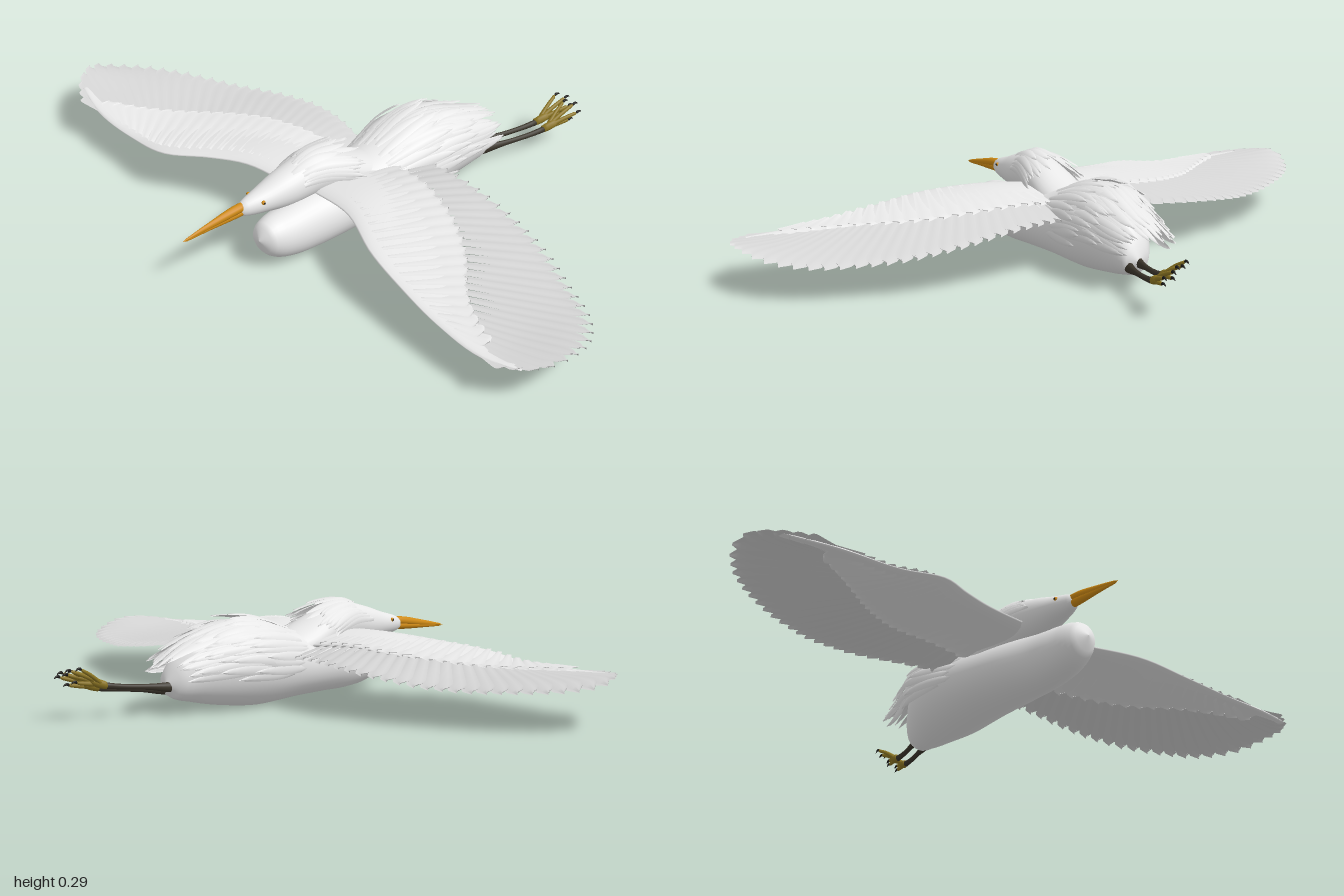
import * as THREE from 'three';

const mat = (name, color) => {
  const m = new THREE.MeshStandardMaterial({ color, side: THREE.DoubleSide });
  m.name = name;
  return m;
};

// small seeded random
let seed = 7;
const rnd = () => (seed = (seed * 16807) % 2147483647) / 2147483647;

// smooth lookup through rows of [key, a, b, ...]
function table(rows) {
  const n = rows[0].length - 1;
  const it = new THREE.CubicInterpolant(rows.map(r => r[0]), rows.flatMap(r => r.slice(1)), n, new Float32Array(n));
  return t => Array.from(it.evaluate(t));
}

// surface from fn(u, v) -> [x, y, z]; closed wraps v and turns the faces outwards
function grid(fn, nu, nv, closed = false) {
  const pos = [], idx = [], w = closed ? nv : nv + 1;
  for (let i = 0; i <= nu; i++) for (let j = 0; j < w; j++) pos.push(...fn(i / nu, j / nv));
  for (let i = 0; i < nu; i++) for (let j = 0; j < nv; j++) {
    const a = i * w + j, b = i * w + (j + 1) % w;
    idx.push(a, a + w, b, b, a + w, b + w);
  }
  const P = k => new THREE.Vector3().fromArray(pos, 3 * k);
  let measure = 0;
  for (let k = 0; k < idx.length; k += 3) {
    const [a, b, c] = [P(idx[k]), P(idx[k + 1]), P(idx[k + 2])];
    measure += closed ? a.dot(b.clone().cross(c)) : b.sub(a).cross(c.sub(a)).y;
  }
  if (measure < 0) idx.reverse();
  const g = new THREE.BufferGeometry();
  g.setAttribute('position', new THREE.Float32BufferAttribute(pos, 3));
  g.setIndex(idx);
  g.computeVertexNormals();
  return g;
}

// rounded solid along x from rows of [x, y, z, radiusY, radiusZ]
function hull(rows, nu = 40, nv = 28) {
  const at = table(rows), x0 = rows[0][0], x1 = rows[rows.length - 1][0];
  return grid((u, v) => {
    const x = x0 + (x1 - x0) * u, [y, z, ry, rz] = at(x);
    const k = u === 0 || u === 1 ? 0 : 1, a = v * Math.PI * 2;
    return [x, y + k * Math.max(ry, 0.001) * Math.cos(a), z + k * Math.max(rz, 0.001) * Math.sin(a)];
  }, nu, nv, true);
}

// narrow pointed plume lying over a hull
function plume(at, x0, x1, a0, a1, width, lift) {
  return grid((u, v) => {
    const x = x0 + (x1 - x0) * u, [y, z, ry, rz] = at(x), s = v * 2 - 1;
    const w = width * Math.pow(Math.sin(Math.PI * Math.min(1, 0.12 + u * 0.88)), 0.6);
    const a = a0 + (a1 - a0) * u + s * w / Math.max(0.06, rz);
    const r = lift * u + 0.004 * (1 - Math.abs(s));
    return [x, y + (ry + r) * Math.cos(a), z + (rz + r) * Math.sin(a)];
  }, 9, 2);
}

// wing data: chord rows [span, leading x, trailing x, covert x, y]; tips and coverts are [x, span]
const wings = [
  { name: 'leftWing', side: 1,
    rows: [[0.03, -0.27, 0.1, -0.03, 0.18], [0.2, -0.3, 0.1, -0.06, 0.195], [0.35, -0.37, 0.1, -0.11, 0.18],
      [0.5, -0.405, 0.08, -0.2, 0.152], [0.65, -0.43, 0.04, -0.32, 0.128], [0.82, -0.443, -0.05, -0.41, 0.118], [1, -0.4, -0.2, -0.38, 0.132]],
    tips: [[0.1, 0.13], [0.1, 0.3], [0.08, 0.5], [0.04, 0.65], [-0.03, 0.79], [-0.1, 0.91], [-0.19, 0.98], [-0.28, 1], [-0.37, 0.98], [-0.43, 0.89]],
    coverts: [[0, 0.12], [-0.03, 0.28], [-0.09, 0.42], [-0.17, 0.53], [-0.27, 0.62], [-0.34, 0.71], [-0.39, 0.8]] },
  { name: 'rightWing', side: -1,
    rows: [[0.03, -0.3, 0.06, -0.06, 0.185], [0.2, -0.31, 0.1, -0.08, 0.185], [0.32, -0.35, 0.11, -0.09, 0.172],
      [0.45, -0.405, 0.1, -0.16, 0.152], [0.6, -0.395, 0.06, -0.26, 0.13], [0.8, -0.37, -0.02, -0.33, 0.132], [1, -0.29, -0.18, -0.27, 0.15]],
    tips: [[0.06, 0.1], [0.1, 0.25], [0.11, 0.36], [0.09, 0.51], [0.05, 0.64], [0.01, 0.75], [-0.06, 0.88], [-0.12, 0.95], [-0.2, 1], [-0.28, 0.97], [-0.35, 0.88]],
    coverts: [[-0.05, 0.1], [-0.06, 0.25], [-0.08, 0.37], [-0.14, 0.5], [-0.21, 0.61], [-0.26, 0.69], [-0.32, 0.8]] },
];
const quillRoots = [[0.18, 0.1], [0.1, 0.25], [0.07, 0.4], [0.06, 0.5], [0.05, 0.6], [0.035, 0.7], [0.02, 0.76]];
const covertRoots = [[0.05, 0.08], [0.04, 0.2], [0.035, 0.32], [0.03, 0.42], [0.02, 0.5], [0.02, 0.6], [0.02, 0.7]];

function buildWing(w, white, grey, add) {
  const at = table(w.rows);
  const surf = (x, s) => {
    const [lead, trail, , y] = at(s);
    const f = THREE.MathUtils.clamp((x - lead) / (trail - lead), 0, 1.1);
    return y - f * (s < 0.6 ? 0.045 - s * 0.045 : 0.018) + 0.01 * Math.sin(Math.PI * f);
  };
  const curve = pts => new THREE.CatmullRomCurve3(pts.map(p => new THREE.Vector3(p[0], 0, p[1])));

  // thick leading arm
  const arm = grid((u, v) => {
    const s = 0.03 + 0.9 * u, [lead, , back] = at(s), a = v * Math.PI * 2;
    const f = (1 - Math.cos(a)) / 2, x = lead + (back - lead) * f;
    const thick = (u === 1 ? 0 : 0.045 - 0.036 * u) * Math.sqrt(f) * (1 - f * 0.85);
    return [x, surf(x, s) + Math.sign(Math.sin(a)) * thick * Math.min(1, Math.abs(Math.sin(a)) * 2), w.side * s];
  }, 32, 24, true);
  add(arm, white, w.name + 'Arm');

  // overlapping fan of rounded feathers
  const fan = (name, rootPts, tipPts, count, half, offset, material) => {
    const roots = curve(rootPts.map(([d, s]) => [at(s)[0] + d, s])), tips = curve(tipPts);
    for (let i = 0; i < count; i++) {
      const t = i / (count - 1), r = roots.getPointAt(t), e = tips.getPointAt(t);
      const dir = e.clone().sub(r).normalize();
      const feather = grid((u, v) => {
        const q = v * 2 - 1, end = u > 0.84 ? Math.sqrt(Math.max(0, 1 - ((u - 0.84) / 0.16) ** 2)) : 1;
        const h = half * (0.35 + 0.65 * u) * end * q;
        const x = r.x + (e.x - r.x) * u - dir.z * h, s = r.z + (e.z - r.z) * u + dir.x * h;
        return [x, surf(x, s) + offset + q * 0.004 + (q === 0 ? 0.003 : 0), w.side * s];
      }, 16, 4);
      add(feather, material, name);
    }
  };
  fan(w.name + 'FlightFeather', quillRoots, w.tips, 30, 0.03, 0, grey);
  fan(w.name + 'UpperCovert', covertRoots, w.coverts, 20, 0.033, 0.011, white);
  fan(w.name + 'LowerCovert', covertRoots, w.coverts, 20, 0.033, -0.009, white);
}

export function createModel() {
  seed = 7;
  const bird = new THREE.Group();
  bird.name = 'flyingWadingBird';
  const add = (geometry, material, name) => {
    const m = new THREE.Mesh(geometry, material);
    m.name = name;
    bird.add(m);
    return m;
  };
  const white = mat('white plumage', 0xe9e9e9), grey = mat('flight feather grey', 0xd6d6d6);
  const orange = mat('bill orange', 0xcf8a14), dark = mat('leg brown', 0x3b352b);
  const olive = mat('foot olive', 0x8d7623), black = mat('claw black', 0x1c1a18);

  // body with the folded neck bulging at the front
  add(hull([[-0.476, 0.108, 0.02, 0.005, 0.005], [-0.465, 0.106, 0.02, 0.036, 0.034], [-0.44, 0.1, 0.02, 0.058, 0.052],
    [-0.38, 0.092, 0.022, 0.075, 0.068], [-0.3, 0.092, 0.025, 0.085, 0.08], [-0.18, 0.1, 0.028, 0.092, 0.1],
    [-0.04, 0.109, 0.032, 0.102, 0.115], [0.1, 0.125, 0.043, 0.124, 0.123], [0.2, 0.128, 0.06, 0.118, 0.108],
    [0.3, 0.115, 0.09, 0.086, 0.075], [0.36, 0.09, 0.11, 0.042, 0.042], [0.375, 0.085, 0.115, 0.02, 0.025]], 60, 32), white, 'body');

  // head and nape
  const headRows = [[-0.495, 0.19, -0.043, 0.014, 0.012], [-0.465, 0.192, -0.038, 0.026, 0.024], [-0.41, 0.196, -0.03, 0.038, 0.04],
    [-0.34, 0.203, -0.02, 0.055, 0.055], [-0.25, 0.213, -0.008, 0.064, 0.064], [-0.18, 0.2, 0.002, 0.062, 0.072],
    [-0.08, 0.165, 0.015, 0.055, 0.08], [0.02, 0.14, 0.03, 0.04, 0.07]];
  add(hull(headRows), white, 'head');

  // two halves of the bill
  add(hull([[-0.68, 0.169, -0.07, 0.002, 0.002], [-0.6, 0.181, -0.06, 0.009, 0.007], [-0.48, 0.199, -0.042, 0.013, 0.014], [-0.46, 0.2, -0.039, 0.01, 0.012]], 16, 14), orange, 'upperBill');
  add(hull([[-0.675, 0.167, -0.069, 0.002, 0.002], [-0.6, 0.174, -0.06, 0.007, 0.006], [-0.48, 0.184, -0.042, 0.012, 0.013], [-0.46, 0.185, -0.039, 0.01, 0.012]], 16, 14), orange, 'lowerBill');

  // eyes
  for (const s of [-1, 1]) {
    const z = -0.033 + s * 0.031;
    add(new THREE.SphereGeometry(0.006, 14, 10), orange, 'eye').position.set(-0.432, 0.208, z);
    add(new THREE.SphereGeometry(0.0035, 10, 8), black, 'pupil').position.set(-0.432, 0.208, z + s * 0.004);
  }

  // nape plumes
  const nape = table(headRows);
  for (let i = 0; i < 22; i++) {
    const a = -1.5 + 3 * i / 21, x0 = -0.33 + rnd() * 0.08;
    add(plume(nape, x0, x0 + 0.14 + rnd() * 0.06, a * 0.85, a, 0.011, 0.015 + rnd() * 0.02), white, 'napePlume');
  }

  // back plumes in layered rows, sweeping past the tail
  const back = table([[-0.06, 0.11, 0.03, 0.1, 0.105], [0.1, 0.122, 0.04, 0.127, 0.125], [0.2, 0.128, 0.055, 0.118, 0.118],
    [0.3, 0.122, 0.08, 0.088, 0.092], [0.38, 0.115, 0.09, 0.055, 0.07], [0.46, 0.11, 0.09, 0.012, 0.045]]);
  for (let row = 0; row < 5; row++) for (let i = 0; i < 19; i++) {
    const a = -1.75 + 3.5 * (i + rnd() * 0.8) / 19;
    const x0 = -0.04 + row * 0.055 + rnd() * 0.04;
    const x1 = Math.min(0.455 - Math.abs(a) * 0.04, x0 + 0.17 + rnd() * 0.08);
    add(plume(back, x0, x1, a, a + (rnd() - 0.5) * 0.3, 0.012, 0.006 + rnd() * 0.022), white, 'backPlume');
  }

  // wings
  for (const w of wings) buildWing(w, white, grey, add);

  // trailing legs, feet, toes and claws
  for (const [z, dy] of [[0.105, 0.006], [0.138, -0.004]]) {
    const fy = 0.092 + dy, fz = z + 0.083;
    add(hull([[0.3, 0.08 + dy, z - 0.02, 0.022, 0.018], [0.36, 0.073 + dy, z, 0.016, 0.013], [0.42, 0.077 + dy, z + 0.028, 0.009, 0.008],
      [0.5, 0.084 + dy, z + 0.062, 0.008, 0.008], [0.555, fy, fz, 0.01, 0.009]], 20, 12), dark, 'leg');
    add(hull([[0.54, fy - 0.002, fz - 0.007, 0.011, 0.01], [0.57, fy + 0.008, fz + 0.006, 0.013, 0.012], [0.59, fy + 0.014, fz + 0.012, 0.008, 0.01]], 8, 12), olive, 'foot');
    const toes = [[0.64, 0.055, -0.005], [0.655, 0.05, 0.022], [0.645, 0.035, 0.045], [0.625, 0.012, 0.03]];
    for (const [x, ty, tz] of toes) {
      const ey = fy + ty, ez = fz + tz, mx = (x + 0.56) / 2;
      add(hull([[0.555, fy + 0.003, fz, 0.008, 0.008], [mx, fy + ty * 0.62, fz + tz * 0.55, 0.007, 0.006], [x, ey, ez, 0.005, 0.005]], 12, 10), olive, 'toe');
      add(hull([[x - 0.005, ey, ez, 0.005, 0.004], [x + 0.008, ey + 0.003, ez + 0.002, 0.0035, 0.003], [x + 0.018, ey - 0.003, ez + 0.003, 0.001, 0.001]], 6, 8), black, 'claw');
    }
  }
  return bird;
}
